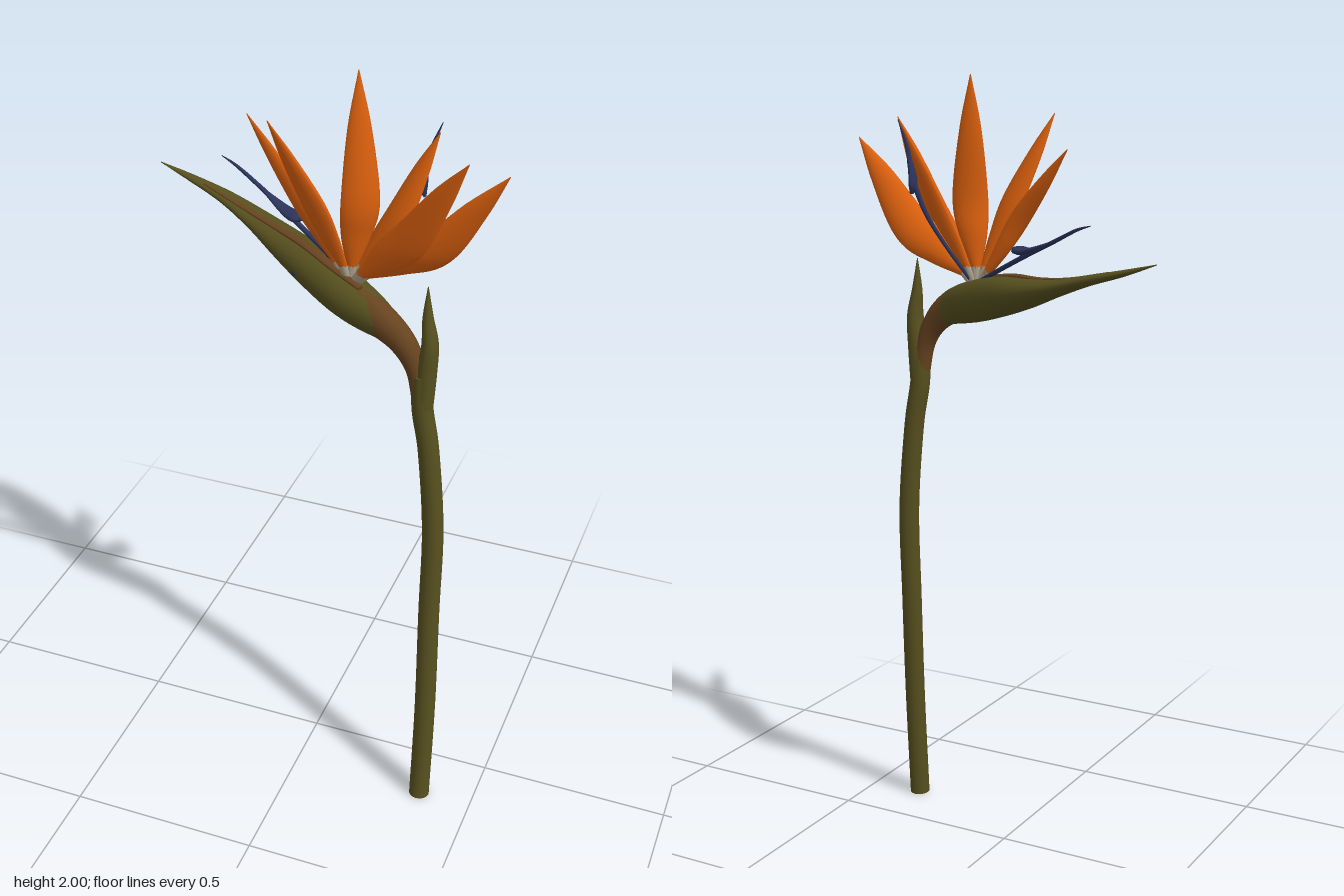
import * as THREE from 'three';

const mat = (name, color) => {
  const m = new THREE.MeshStandardMaterial({ color });
  m.name = name;
  return m;
};

// Elliptical sections swept along a smooth path.
// stations: [x, y, z, halfWidth, halfDepth]; wide: direction of the section's width;
// keel > 0 sharpens the two side edges into a lens.
function sweep(stations, wide, { segs = 28, sides = 16, keel = 0 } = {}) {
  const path = new THREE.CatmullRomCurve3(stations.map(s => new THREE.Vector3(s[0], s[1], s[2])), false, 'catmullrom');
  const size = new THREE.CatmullRomCurve3(stations.map(s => new THREE.Vector3(s[3], s[4], 0)), false, 'catmullrom');
  const axis = new THREE.Vector3(...wide);
  const pos = [], idx = [];
  const rings = [[0, 0], [0, 1]];
  for (let i = 0; i <= segs; i++) rings.push([i / segs, 1]);
  rings.push([1, 1], [1, 0]);
  for (const [t, k] of rings) {
    const c = path.getPoint(t), r = size.getPoint(t), tan = path.getTangent(t);
    const w = axis.clone().addScaledVector(tan, -axis.dot(tan)).normalize();
    const n = new THREE.Vector3().crossVectors(tan, w);
    for (let j = 0; j < sides; j++) {
      const a = (j / sides) * Math.PI * 2, s = Math.sin(a);
      const depth = s * Math.pow(Math.abs(s), keel);
      const p = c.clone()
        .addScaledVector(w, Math.cos(a) * Math.max(r.x, 0.0004) * k)
        .addScaledVector(n, depth * Math.max(r.y, 0.0004) * k);
      pos.push(p.x, p.y, p.z);
    }
  }
  for (let i = 0; i < rings.length - 1; i++) {
    for (let j = 0; j < sides; j++) {
      const a = i * sides + j, b = i * sides + (j + 1) % sides;
      idx.push(a, b, b + sides, a, b + sides, a + sides);
    }
  }
  const g = new THREE.BufferGeometry();
  g.setAttribute('position', new THREE.Float32BufferAttribute(pos, 3));
  g.setIndex(idx);
  g.computeVertexNormals();
  return g;
}

export function createModel() {
  const model = new THREE.Group();
  model.name = 'flower';
  const olive = mat('olive green', 0x57501f);
  const brown = mat('reddish brown', 0x684420);
  const orange = mat('orange', 0xdb600e);
  const navy = mat('dark blue', 0x2c345c);
  const cream = mat('pale grey', 0xaaa08c);

  const add = (name, geometry, material, parent = model) => {
    const m = new THREE.Mesh(geometry, material);
    m.name = name;
    parent.add(m);
    return m;
  };

  // Stalk
  add('stem', sweep([
    [0.358, 0, 0.155, 0.027, 0.027], [0.358, 0.3, 0.136, 0.027, 0.027],
    [0.35, 0.6, 0.112, 0.027, 0.027], [0.347, 0.85, 0.1, 0.027, 0.027],
    [0.327, 1.08, 0.098, 0.026, 0.027], [0.308, 1.2, 0.1, 0.026, 0.028],
    [0.303, 1.3, 0.102, 0.024, 0.027]], [1, 0, 0], { segs: 40 }), olive);

  // Pointed leaf beside the neck
  add('sheathLeaf', sweep([
    [0.308, 1.2, 0.1, 0.025, 0.027], [0.314, 1.3, 0.1, 0.025, 0.028],
    [0.32, 1.38, 0.1, 0.02, 0.026], [0.312, 1.45, 0.098, 0.013, 0.015],
    [0.309, 1.53, 0.096, 0.001, 0.001]], [1, 0, 0]), olive);

  // Bent neck
  add('neck', sweep([
    [0.305, 1.22, 0.1, 0.024, 0.022], [0.288, 1.31, 0.1, 0.026, 0.025],
    [0.25, 1.375, 0.098, 0.03, 0.035], [0.19, 1.417, 0.088, 0.036, 0.045],
    [0.13, 1.435, 0.07, 0.038, 0.05]], [-0.3, 0, 0.95]), brown);

  // Beak-shaped bract
  const across = [-0.48, 0, 0.87];
  add('bract', sweep([
    [0.235, 1.385, 0.095, 0.025, 0.03], [0.18, 1.417, 0.082, 0.042, 0.048],
    [0.1, 1.44, 0.05, 0.056, 0.054], [0, 1.465, -0.005, 0.057, 0.05],
    [-0.1, 1.486, -0.062, 0.05, 0.036], [-0.2, 1.511, -0.113, 0.037, 0.021],
    [-0.3, 1.54, -0.148, 0.024, 0.013], [-0.4, 1.566, -0.168, 0.012, 0.008],
    [-0.488, 1.592, -0.176, 0.001, 0.001]], across, { segs: 44, sides: 20 }), olive);
  add('bractSeam', sweep([
    [0.14, 1.487, 0.085, 0.008, 0.005], [0.05, 1.505, 0.035, 0.014, 0.006],
    [-0.04, 1.519, -0.018, 0.013, 0.006], [-0.14, 1.524, -0.073, 0.01, 0.005],
    [-0.24, 1.537, -0.117, 0.008, 0.004], [-0.36, 1.563, -0.154, 0.003, 0.003]], across, { sides: 10 }), brown);

  // Orange petals: base, middle, tip, half width, width direction
  const petals = new THREE.Group();
  petals.name = 'petals';
  model.add(petals);
  const bases = new THREE.Group();
  bases.name = 'petalBases';
  model.add(bases);
  const heart = new THREE.Vector3(0.105, 1.465, 0.05);
  [
    [[0.07, 1.51, 0.035], [-0.03, 1.655, 0.028], [-0.185, 1.83, -0.025], 0.034, [0.7, 0.5, 0.4]],
    [[0.09, 1.515, 0.055], [0.03, 1.69, 0.1], [-0.058, 1.905, 0.157], 0.04, [0.9, 0.2, 0.45]],
    [[0.107, 1.515, 0.05], [0.128, 1.7, 0.058], [0.11, 2, 0.03], 0.045, [0.9, 0, -0.4]],
    [[0.13, 1.51, 0.065], [0.27, 1.655, 0.12], [0.413, 1.885, 0.176], 0.046, [0.75, -0.5, 0.3]],
    [[0.135, 1.505, 0.055], [0.315, 1.615, 0.078], [0.485, 1.835, 0.1], 0.05, [0.6, -0.7, -0.4]],
    [[0.125, 1.515, 0.045], [0.215, 1.665, 0.045], [0.297, 1.872, 0.01], 0.038, [0.8, -0.3, 0.5]],
  ].forEach(([b, m, t, w, wide]) => {
    const mix = (p, q, k) => p.map((v, i) => v + (q[i] - v) * k);
    const low = mix(b, m, 0.5), high = mix(m, t, 0.55);
    add('petal', sweep([
      [...b, 0.011, 0.009], [...low, w * 0.8, w * 0.38], [...m, w, w * 0.42],
      [...high, w * 0.62, w * 0.28], [...t, 0.001, 0.001]], wide, { keel: 0.35 }), orange, petals);
    // Pale claw joining the petal to the bract
    add('petalBase', sweep([
      [...heart.toArray(), 0.012, 0.012], [...mix(heart.toArray(), b, 0.6), 0.013, 0.011],
      [...mix(b, m, 0.07), 0.013, 0.01]], wide, { segs: 8, sides: 10 }), cream, bases);
  });

  // Blue arrow-shaped tongues
  const tongues = new THREE.Group();
  tongues.name = 'blueTongues';
  model.add(tongues);
  add('longTongue', sweep([
    [0.08, 1.495, 0.03, 0.006, 0.006], [0, 1.535, -0.005, 0.006, 0.006],
    [-0.1, 1.582, -0.05, 0.007, 0.006], [-0.18, 1.617, -0.085, 0.006, 0.005],
    [-0.25, 1.65, -0.108, 0.004, 0.004], [-0.295, 1.664, -0.122, 0.001, 0.001]], across, { sides: 10 }), navy, tongues);
  add('longTongueBlade', sweep([
    [-0.043, 1.587, -0.022, 0.012, 0.006], [-0.06, 1.584, -0.028, 0.026, 0.011],
    [-0.1, 1.588, -0.046, 0.018, 0.008], [-0.18, 1.617, -0.085, 0.003, 0.003]], across, { sides: 10, keel: 0.3 }), navy, tongues);
  add('uprightTongue', sweep([
    [0.12, 1.495, 0.04, 0.005, 0.005], [0.18, 1.575, 0.025, 0.005, 0.005],
    [0.23, 1.66, 0.008, 0.006, 0.006], [0.26, 1.75, -0.004, 0.007, 0.007],
    [0.272, 1.82, -0.006, 0.005, 0.005], [0.296, 1.888, -0.01, 0.001, 0.001]], [1, 0, 0], { sides: 10 }), navy, tongues);
  add('uprightTongueBlade', sweep([
    [0.262, 1.705, -0.004, 0.003, 0.008], [0.258, 1.73, -0.004, 0.009, 0.017],
    [0.262, 1.77, -0.005, 0.007, 0.011], [0.275, 1.83, -0.007, 0.002, 0.002]], [1, 0, 0], { sides: 10 }), navy, tongues);

  // Small dark nub on the bract's front side
  const nub = add('bractNub', new THREE.SphereGeometry(0.012, 12, 8), navy);
  nub.position.set(-0.042, 1.463, 0.026);
  nub.scale.set(1.2, 0.8, 0.7);

  return model;
}
